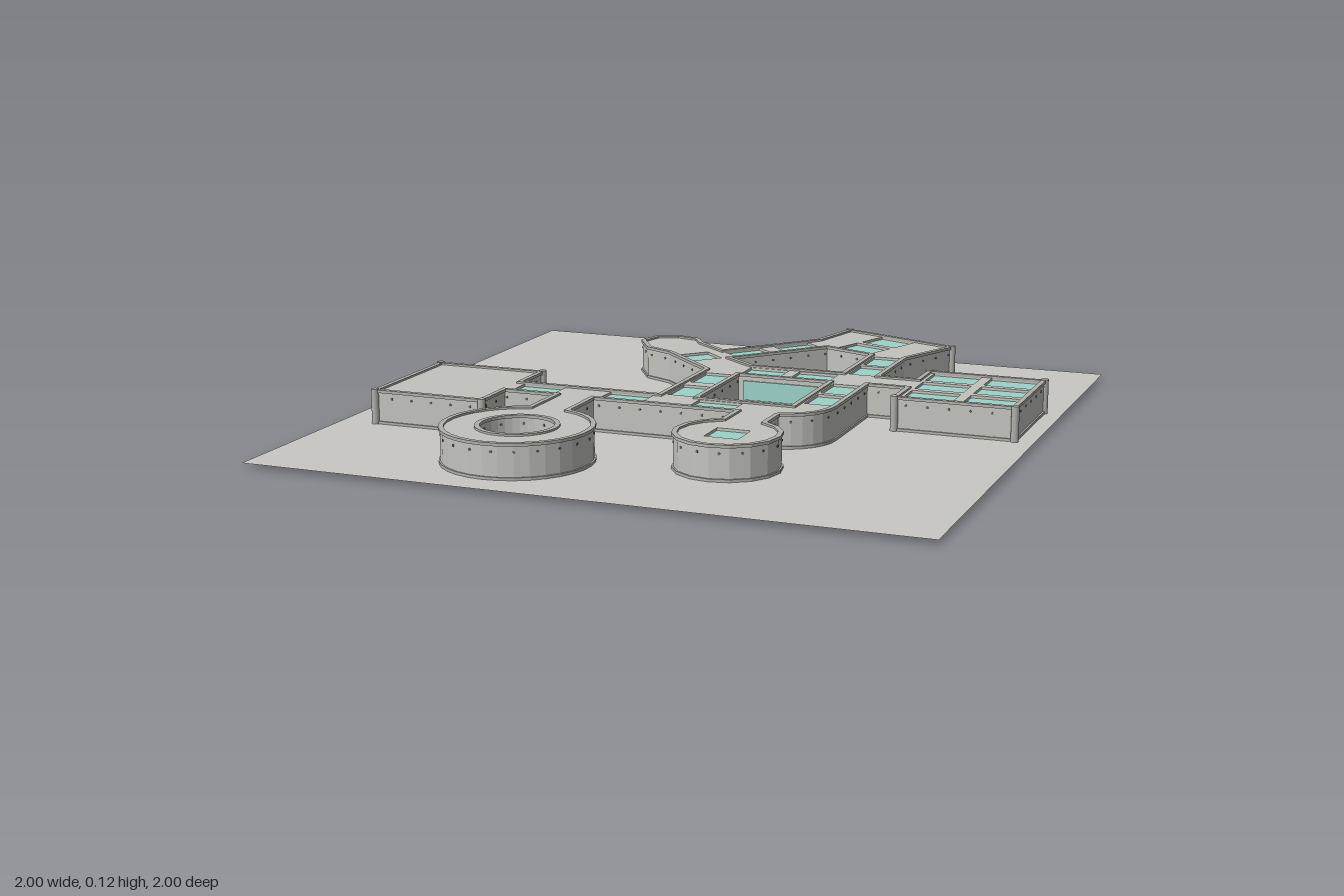
import * as THREE from 'three';
import { mergeGeometries } from 'three/addons/utils/BufferGeometryUtils.js';

const FLOOR = 0.014, ROOF = 0.112, TOP = 0.118;

// plan points are [x, z]
function arc(cx, cz, r, a0, a1, n) {
  const out = [];
  for (let i = 0; i <= n; i++) {
    const a = a0 + (a1 - a0) * i / n;
    out.push([cx + r * Math.cos(a), cz + r * Math.sin(a)]);
  }
  return out;
}
const area = (l) => l.reduce((s, p, i) => {
  const q = l[(i + 1) % l.length];
  return s + p[0] * q[1] - q[0] * p[1];
}, 0) / 2;

// mitred offset of a closed loop; positive d grows it
function offset(loop, d) {
  const s = Math.sign(area(loop)), n = loop.length;
  const normal = (a, b) => {
    const dx = b[0] - a[0], dz = b[1] - a[1], l = Math.hypot(dx, dz);
    return [s * dz / l, -s * dx / l];
  };
  return loop.map((p, i) => {
    const a = normal(loop[(i + n - 1) % n], p), b = normal(p, loop[(i + 1) % n]);
    const k = d / Math.max(0.4, 1 + a[0] * b[0] + a[1] * b[1]);
    return [p[0] + (a[0] + b[0]) * k, p[1] + (a[1] + b[1]) * k];
  });
}

// loop as shape points, wound counter-clockwise (ccw = 1) or clockwise (-1) seen from above
function wound(loop, ccw) {
  const pts = loop.map(([x, z]) => new THREE.Vector2(x, -z));
  return THREE.ShapeUtils.area(pts) * ccw < 0 ? pts.reverse() : pts;
}

// vertical extrusion of a plan with holes
function slab(loop, holes, y0, y1) {
  const shape = new THREE.Shape(wound(loop, 1));
  holes.forEach((h) => shape.holes.push(new THREE.Path(wound(h, -1))));
  const g = new THREE.ExtrudeGeometry(shape, { depth: y1 - y0, bevelEnabled: false });
  g.rotateX(-Math.PI / 2);
  g.translate(0, y0, 0);
  return g;
}

// rotated rectangle in plan
function rect([cx, cz, w, h, a = 0]) {
  const c = Math.cos(a), s = Math.sin(a);
  return [[-1, -1], [1, -1], [1, 1], [-1, 1]].map(([i, j]) => {
    const x = i * w / 2, z = j * h / 2;
    return [cx + x * c - z * s, cz + x * s + z * c];
  });
}

export function createModel() {
  const root = new THREE.Group();
  root.name = 'modularBase';
  const mat = (name, color) => new THREE.MeshStandardMaterial({ name, color });
  const ground = mat('groundGrey', 0xc8c7c4);
  ground.side = THREE.DoubleSide;
  const hull = mat('hullGrey', 0xc3c3be);
  const trim = mat('trimGrey', 0xb0b0ab);
  const dark = mat('portGrey', 0x6c6c68);
  const glass = mat('glassTeal', 0x9cd2c8);
  const add = (name, geo, m) => {
    const mesh = new THREE.Mesh(geo, m);
    mesh.name = name;
    root.add(mesh);
  };

  // ground sheet
  const sheet = new THREE.PlaneGeometry(2, 2);
  sheet.rotateX(-Math.PI / 2);
  sheet.translate(0, FLOOR, 0);
  add('groundSheet', sheet, ground);

  // outline of all rooms and corridors
  const outline = [
    // square hall and main corridor
    [-0.885, 0.46], [-0.885, 0.05], [-0.53, 0.05], [-0.53, 0.2], [-0.075, 0.2],
    // diagonal corridor with rounded end
    [-0.075, -0.175], [-0.275, -0.365], [-0.37, -0.41], [-0.43, -0.505], [-0.41, -0.58],
    [-0.343, -0.61], [-0.268, -0.592], [-0.235, -0.54], [-0.125, -0.45],
    // tilted room
    [0.075, -0.685], [0.11, -0.73], [0.155, -0.92], [0.55, -0.772], [0.455, -0.55], [0.455, -0.27],
    // skylight hall
    [0.58, -0.27], [0.58, -0.395], [0.943, -0.395], [0.943, -0.02], [0.58, -0.02], [0.58, -0.155],
    // curved corner
    [0.455, -0.155], ...arc(0.305, 0.16, 0.15, 0, 1.35, 6),
    // small round room
    [0.335, 0.31], ...arc(0.275, 0.555, 0.15, -1.16, Math.PI + 1.12, 14), [0.21, 0.31],
    // ring room
    [-0.24, 0.31], ...arc(-0.3, 0.69, 0.215, -1.287, Math.PI + 1.287, 28), [-0.36, 0.31],
    [-0.53, 0.31], [-0.53, 0.46],
  ];
  const court = [[0.043, -0.145], [0.34, -0.145], [0.34, 0.195], [0.043, 0.195]];
  const wedge = [[-0.065, -0.355], [0.17, -0.63], [0.34, -0.565], [0.34, -0.275], [0.043, -0.27]];
  const ringHole = arc(-0.3, 0.69, 0.11, 0, Math.PI * 2 * 31 / 32, 31);
  const holes = [court, wedge, ringHole];

  // skylights: x, z, width, depth, turn
  const lights = [
    [-0.016, -0.07, 0.09, 0.135], [-0.016, 0.11, 0.09, 0.135],
    [0.107, -0.21, 0.125, 0.095], [0.267, -0.21, 0.125, 0.095],
    [0.275, 0.555, 0.1, 0.1],
    [0.075, -0.605, 0.13, 0.086, -0.866], [-0.045, -0.469, 0.13, 0.086, -0.866],
    [-0.166, -0.356, 0.1, 0.1, -0.82],
    [0.33, -0.787, 0.135, 0.11, 0.36], [0.283, -0.668, 0.135, 0.1, 0.36],
  ];
  for (const z of [-0.49, -0.345, -0.07, 0.077]) lights.push([0.4, z, 0.09, 0.125]);
  for (const x of [-0.445, -0.16, 0.123]) lights.push([x, 0.254, 0.135, 0.09]);
  for (const x of [0.675, 0.856])
    for (const [z, d] of [[-0.335, 0.105], [-0.211, 0.095], [-0.088, 0.1]]) lights.push([x, z, 0.15, d]);
  const panes = lights.map(rect);

  // walls and roof in one shell, with openings for the skylights
  add('wallsAndRoof', slab(outline, [...holes, ...panes], FLOOR - 0.002, ROOF), hull);
  add('skylights', mergeGeometries(panes.map((p) => slab(p, [], 0.098, 0.104))), glass);

  // courtyard window
  const win = new THREE.BoxGeometry(0.26, 0.06, 0.006);
  win.translate(0.19, 0.066, -0.143);
  add('courtyardWindow', win, glass);

  // trim bands at the top and foot of every wall
  const band = (loop, out, inn, y0, y1) => slab(offset(loop, out), [offset(loop, -inn)], y0, y1);
  const bands = [], ports = [];
  [outline, ...holes].forEach((loop, k) => {
    const [out, inn] = k ? [0.01, 0.005] : [0.005, 0.01];
    bands.push(band(loop, out, inn, 0.109, TOP));
    if (loop === ringHole) bands.push(band(loop, 0.001, 0.005, 0, 0.022));
    else bands.push(band(loop, out, inn, 0.009, 0.022));
    // small round ports along the walls
    let walked = 0.03;
    loop.forEach((p, i) => {
      const q = loop[(i + 1) % loop.length];
      const dx = q[0] - p[0], dz = q[1] - p[1], len = Math.hypot(dx, dz);
      for (; walked < len; walked += 0.065) {
        const g = new THREE.CylinderGeometry(0.004, 0.004, 0.004, 8);
        g.rotateX(Math.PI / 2);
        g.rotateY(-Math.atan2(dz, dx));
        g.translate(p[0] + dx * walked / len, 0.092, p[1] + dz * walked / len);
        ports.push(g);
      }
      walked -= len;
    });
  });
  add('trimBands', mergeGeometries(bands), trim);
  add('wallPorts', mergeGeometries(ports), dark);

  // corner posts of the square rooms
  const posts = [[0.155, -0.92], [0.55, -0.772]];
  for (const x of [-0.885, -0.53]) for (const z of [0.05, 0.46]) posts.push([x, z]);
  for (const x of [0.58, 0.943]) for (const z of [-0.395, -0.02]) posts.push([x, z]);
  add('cornerPosts', mergeGeometries(posts.map(([x, z]) => {
    const g = new THREE.CylinderGeometry(0.012, 0.012, 0.11, 12);
    g.translate(x, 0.065, z);
    return g;
  })), trim);

  return root;
}
